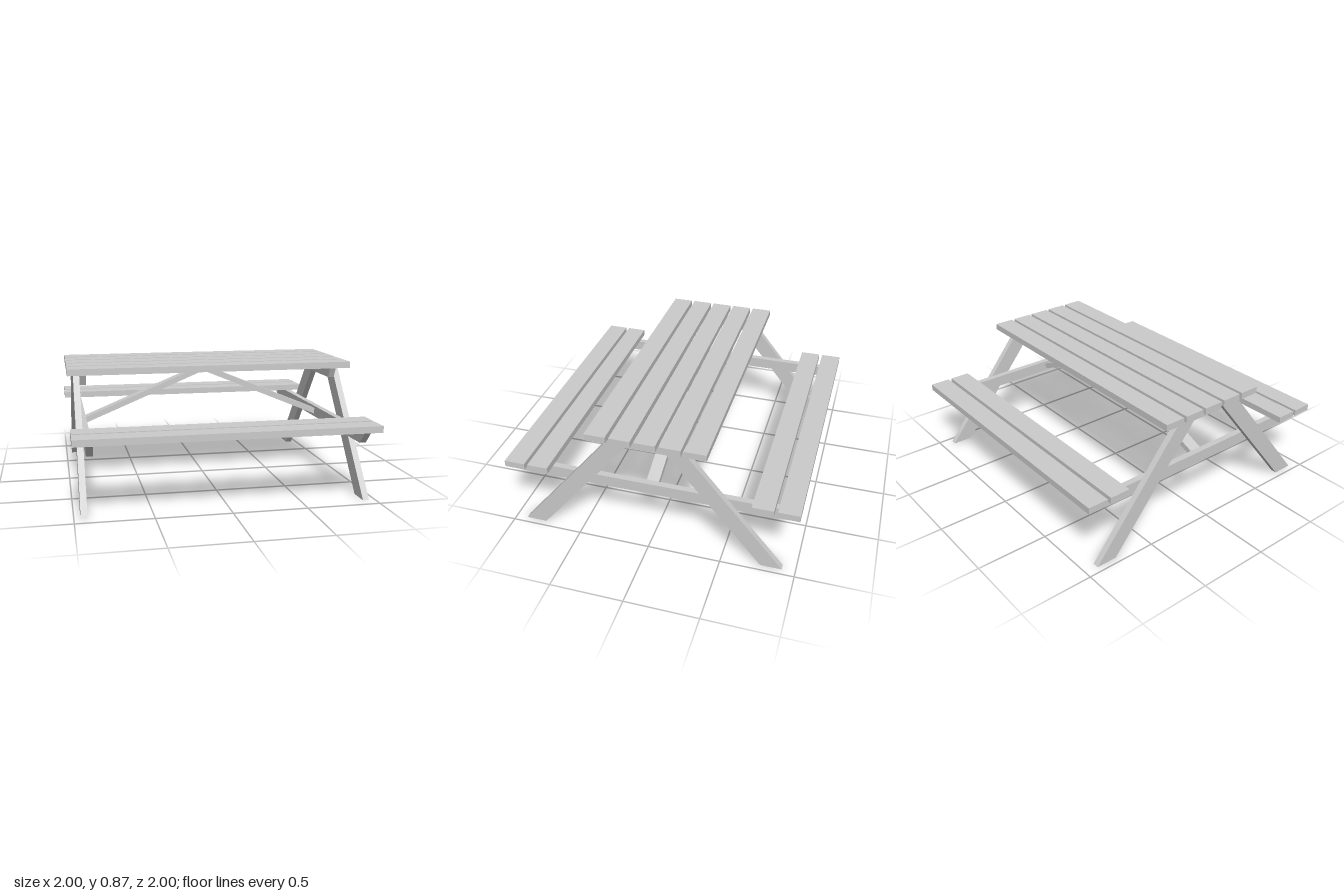
import * as THREE from 'three';

const material = new THREE.MeshStandardMaterial({ color: 0xcccccc, flatShading: true });

// Straight prism from a closed outline, centred on its thickness.
function prism(points, depth) {
  const shape = new THREE.Shape(points.map(([a, b]) => new THREE.Vector2(a, b)));
  return new THREE.ExtrudeGeometry(shape, { depth, bevelEnabled: false }).translate(0, 0, -depth / 2);
}

export function createModel() {
  const table = new THREE.Group();
  table.name = 'picnicTable';

  const add = (name, geometry, x = 0, y = 0, z = 0) => {
    const mesh = new THREE.Mesh(geometry, material);
    mesh.name = name;
    mesh.position.set(x, y, z);
    table.add(mesh);
  };

  // Long planks of the top and both benches
  const plank = new THREE.BoxGeometry(2, 0.045, 0.142);
  for (let i = -2; i <= 2; i++) add('topPlank', plank, 0, 0.844, i * 0.165 + 0.001);
  for (const side of [-1, 1]) {
    add('seatPlank', plank, 0, 0.502, side * 0.929);
    add('seatPlank', plank, 0, 0.502, side * 0.763);
  }

  // End frames; outlines are [z, y], extruded across x
  const across = (points) => prism(points, 0.043).rotateY(-Math.PI / 2);
  const seatBeam = across([[-0.91, 0.4], [0.92, 0.4], [0.998, 0.48], [-0.998, 0.48]]);
  const topBearer = across([[-0.305, 0.745], [0.312, 0.745], [0.35, 0.822], [-0.34, 0.822]]);
  const frontLeg = across([[0.775, 0], [0.92, 0], [0.257, 0.822], [0.11, 0.822]]);
  const backLeg = across([[-0.91, 0], [-0.765, 0], [-0.095, 0.822], [-0.243, 0.822]]);
  for (const side of [-1, 1]) {
    add('seatBeam', seatBeam, side * 0.893);
    add('topBearer', topBearer, side * 0.893);
    add('frontLeg', frontLeg, side * 0.936);
    add('backLeg', backLeg, side * 0.936);
  }

  // Diagonal braces meeting under the middle of the top
  for (const side of [-1, 1]) {
    add('brace', prism([[0, 0.78], [side * 0.872, 0.42], [side * 0.872, 0.463], [0, 0.822]], 0.085));
  }
  return table;
}
